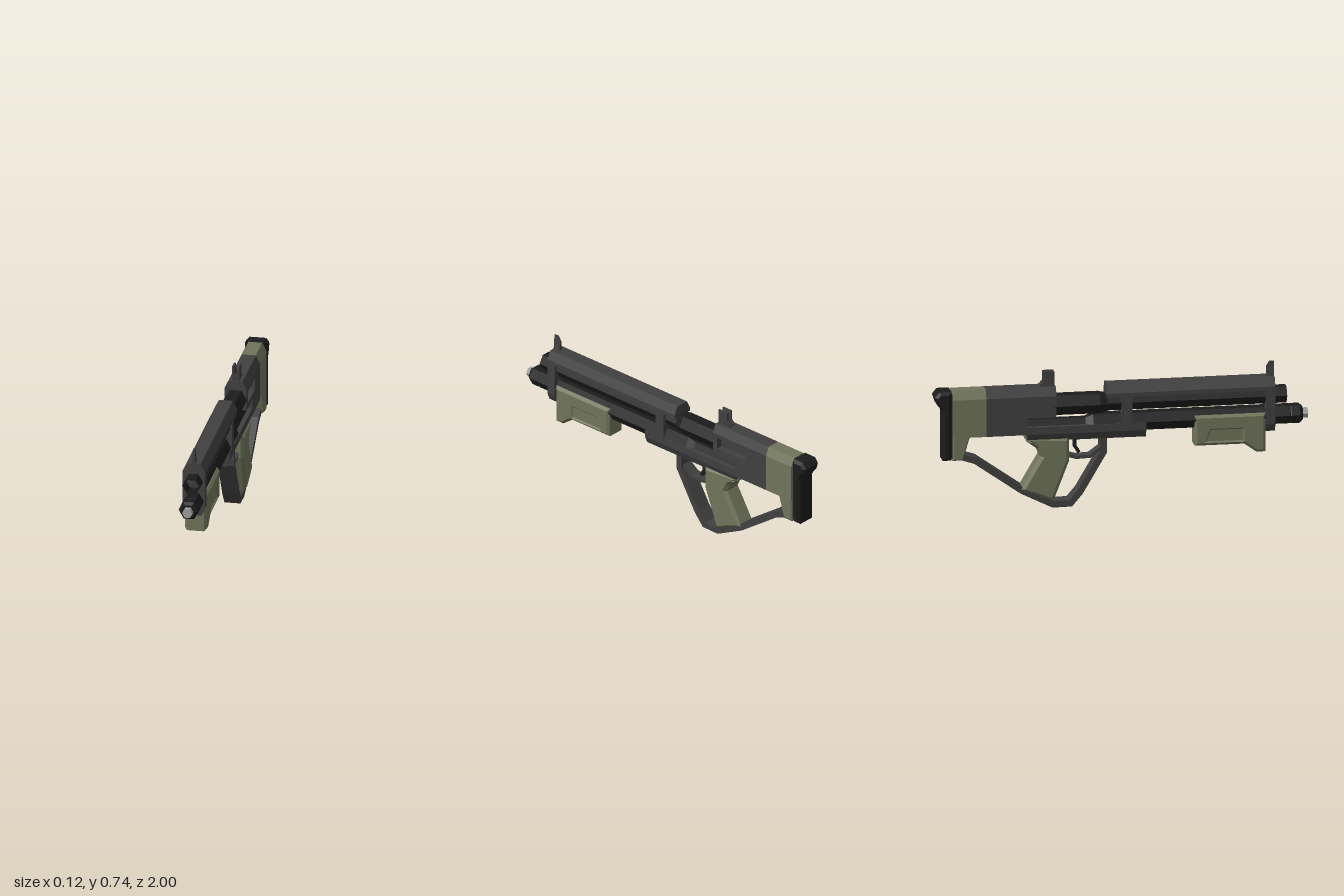
import * as THREE from 'three';

const mat = (color) => new THREE.MeshStandardMaterial({ color, flatShading: true });
const V = (pts) => pts.map(([a, b]) => new THREE.Vector2(a, b));

export function createModel() {
  const root = new THREE.Group();
  const grey = mat(0x404040), black = mat(0x1c1c1c), olive = mat(0x70745a), steel = mat(0xa0a0a0);

  function add(name, geometry, material) {
    const m = new THREE.Mesh(geometry, material);
    m.name = name;
    root.add(m);
    return m;
  }

  // Side profile of [z, y] points, extruded across x with an optional chamfer
  function plate(name, pts, half, bevel, material, hole) {
    const shape = new THREE.Shape(V(pts));
    if (hole) shape.holes.push(new THREE.Path(V(hole)));
    const depth = 2 * (half - bevel);
    const g = new THREE.ExtrudeGeometry(shape, {
      depth, bevelEnabled: bevel > 0, bevelThickness: bevel,
      bevelSize: bevel, bevelOffset: -bevel, bevelSegments: 1,
    });
    g.translate(0, 0, -depth / 2).rotateY(-Math.PI / 2);
    return add(name, g, material);
  }

  // Cross-section of [x, y] points, extruded from z0 forward to z1
  function bar(name, pts, z0, z1, material) {
    const g = new THREE.ExtrudeGeometry(new THREE.Shape(V(pts)), { depth: z1 - z0, bevelEnabled: false });
    return add(name, g.translate(0, 0, z0), material);
  }

  // Six-sided turned part along z from [radius, z] points
  function hex(name, y, pts, material) {
    const g = new THREE.LatheGeometry(V(pts), 6, Math.PI / 6);
    return add(name, g.rotateX(Math.PI / 2).translate(0, y, 0), material);
  }

  // Flat strap of even thickness following a [z, y] path
  function strap(name, path, thick, half, material) {
    const p = V(path), a = [], b = [];
    p.forEach((q, i) => {
      const d0 = p[Math.max(i, 1)].clone().sub(p[Math.max(i, 1) - 1]).normalize();
      const j = Math.min(i + 1, p.length - 1);
      const d1 = p[j].clone().sub(p[j - 1]).normalize();
      const n = new THREE.Vector2(-d0.y - d1.y, d0.x + d1.x).normalize();
      const k = thick / 2 / (n.x * -d0.y + n.y * d0.x);
      a.push([q.x + n.x * k, q.y + n.y * k]);
      b.unshift([q.x - n.x * k, q.y - n.y * k]);
    });
    return plate(name, [...a, ...b], half, 0, material);
  }

  // Body sections: chamfered roof, optional chamfered floor, optional port on the left
  const roof = [[0.06, 0.617], [0.037, 0.662], [-0.037, 0.662], [-0.06, 0.617]];
  const roofed = (y) => [[-0.06, y], [0.06, y], ...roof];
  const ported = (y) => [[-0.06, y], [0.06, y], [0.06, 0.53], [0.025, 0.53], [0.025, 0.595], [0.06, 0.595], ...roof];
  const floor = [[-0.06, 0.41], [-0.043, 0.37], [0.043, 0.37], [0.06, 0.41]];

  // Front housing
  bar('topCover', roofed(0.595), -0.08, 0.82, grey);
  bar('frontPlate', [...floor, ...roof], 0.77, 0.82, grey);
  bar('middlePlate', [...floor, ...roof], 0, 0.055, grey);
  bar('lowerRail', [...floor, [0.06, 0.45], [-0.06, 0.45]], -0.505, 0.13, grey);

  // Rear receiver, in slices around the side port
  bar('receiverFront', roofed(0.5), -0.38, -0.35, grey);
  bar('receiverPortFront', ported(0.5), -0.505, -0.38, grey);
  bar('receiverPortRear', ported(0.41), -0.58, -0.505, grey);
  bar('receiverRear', roofed(0.41), -0.725, -0.58, grey);

  // Stock and butt pad
  bar('stock', roofed(0.41), -0.905, -0.725, olive);
  plate('stockToe', [[-0.81, 0.42], [-0.85, 0.285], [-0.905, 0.285], [-0.905, 0.42]], 0.06, 0.008, olive);
  plate('stockJoint', [[-0.9, 0.295], [-0.92, 0.295], [-0.92, 0.645], [-0.9, 0.645]], 0.045, 0, black);
  plate('buttPad', [[-0.91, 0.285], [-0.957, 0.285], [-0.957, 0.555], [-0.988, 0.595],
    [-1, 0.632], [-0.975, 0.662], [-0.91, 0.662]], 0.06, 0.015, black);

  // Upper tube with an open front end, and its thicker rear sleeve
  hex('upperTube', 0.56, [[0, -0.1], [0.05, -0.1], [0.05, 0.885], [0.039, 0.885], [0.039, 0.822]], black);
  hex('upperSleeve', 0.558, [[0, -0.36], [0.061, -0.36], [0.061, -0.115], [0.05, -0.07], [0, -0.07]], black);
  hex('tubeEnd', 0.56, [[0.045, 0.82], [0, 0.823]], grey);

  // Lower barrel, muzzle and tip
  hex('barrel', 0.45, [[0, -0.505], [0.036, -0.505], [0.036, -0.19], [0.055, -0.15],
    [0.055, 0.9], [0.052, 0.905], [0.055, 0.91], [0.055, 0.955], [0.04, 0.972], [0, 0.972]], black);
  hex('muzzleTip', 0.45, [[0, 0.95], [0.028, 0.95], [0.028, 1], [0, 1]], steel);

  // Fore grip with shallow side recesses
  plate('foreGrip', [[0.77, 0.26], [0.72, 0.26], [0.655, 0.307], [0.39, 0.307], [0.39, 0.472], [0.77, 0.472]],
    0.06, 0.014, olive, [[0.64, 0.335], [0.64, 0.385], [0.48, 0.385], [0.46, 0.335]]);
  plate('foreGripCore', [[0.75, 0.315], [0.4, 0.315], [0.4, 0.46], [0.75, 0.46]], 0.052, 0, olive);

  // Pistol grip
  plate('pistolGrip', [[-0.28, 0.385], [-0.28, 0.255], [-0.365, 0.035], [-0.54, 0.105],
    [-0.435, 0.285], [-0.455, 0.33], [-0.51, 0.372], [-0.51, 0.385]], 0.058, 0.018, olive);

  // Hand guard strap, trigger guard and trigger
  strap('handGuard', [[-0.095, 0.4], [-0.095, 0.295], [-0.22, 0.082], [-0.272, 0.02], [-0.365, 0.018],
    [-0.53, 0.1], [-0.78, 0.276], [-0.87, 0.305]], 0.034, 0.043, grey);
  strap('triggerGuard', [[-0.09, 0.325], [-0.165, 0.27], [-0.24, 0.267], [-0.3, 0.285]], 0.017, 0.03, grey);
  strap('trigger', [[-0.242, 0.39], [-0.245, 0.325], [-0.222, 0.29]], 0.018, 0.012, black);

  // Front sight blade, narrowed towards its top
  const sight = plate('frontSight', [[0.82, 0.65], [0.82, 0.742], [0.797, 0.742], [0.78, 0.715], [0.78, 0.65]],
    0.012, 0, grey).geometry.attributes.position;
  for (let i = 0; i < sight.count; i++) {
    if (sight.getY(i) > 0.7) sight.setX(i, sight.getX(i) * 0.4);
  }

  // Notched rear sight with a sloping foot
  bar('rearSight', [[-0.02, 0.65], [0.02, 0.65], [0.02, 0.742], [0.012, 0.742], [0.005, 0.69],
    [-0.005, 0.69], [-0.012, 0.742], [-0.02, 0.742]], -0.416, -0.356, grey);
  plate('rearSightFoot', [[-0.41, 0.65], [-0.44, 0.65], [-0.435, 0.668], [-0.416, 0.69], [-0.41, 0.69]], 0.02, 0, grey);

  return root;
}
